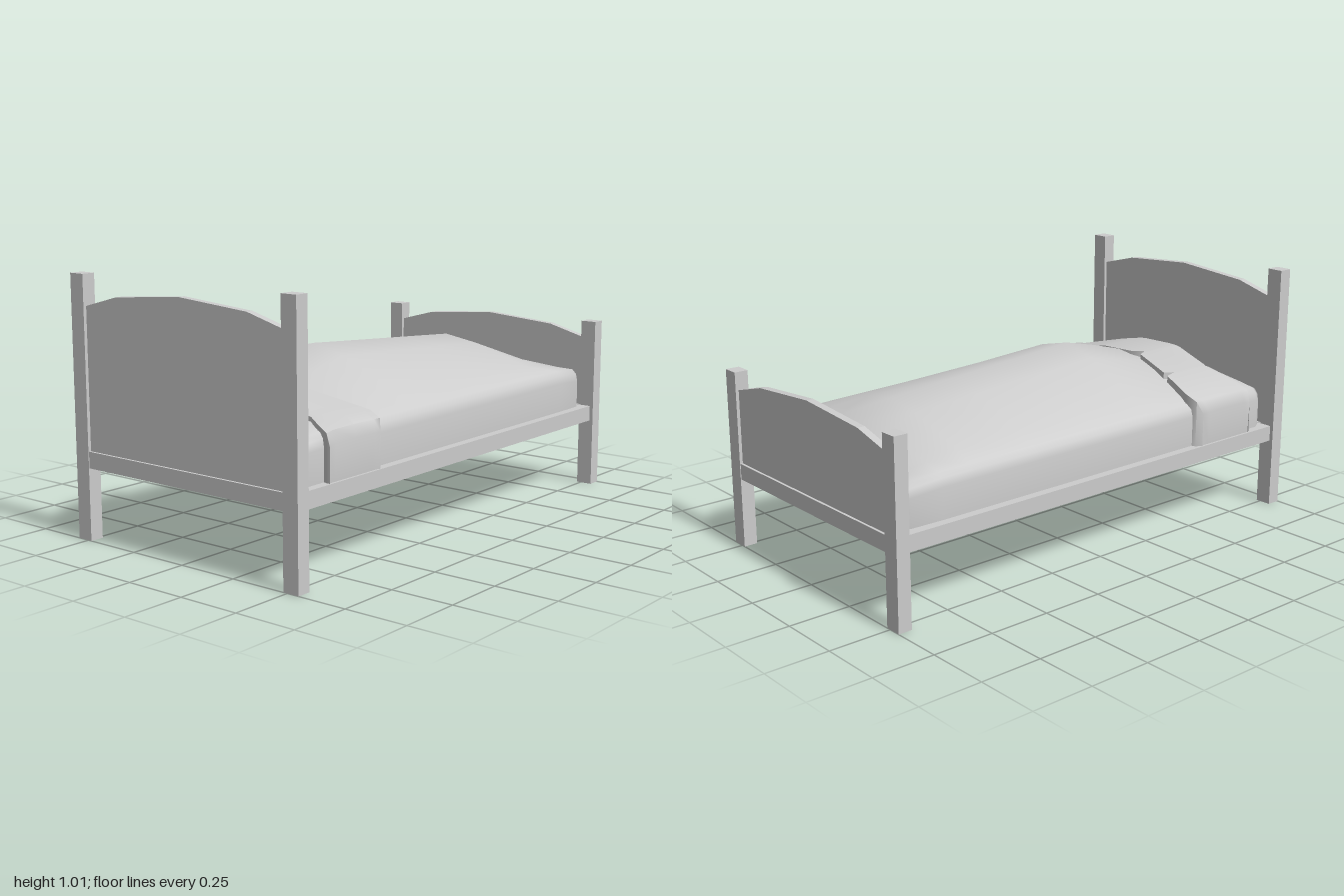
import * as THREE from 'three';
import { toCreasedNormals } from 'three/addons/utils/BufferGeometryUtils.js';

const bedGrey = new THREE.MeshStandardMaterial({ color: 0xcccccc });
bedGrey.name = 'bed grey';

const DECK = 0.345; // top of the bed frame

function addMesh(parent, name, geometry, x = 0, y = 0, z = 0) {
  const mesh = new THREE.Mesh(geometry, bedGrey);
  mesh.name = name;
  mesh.position.set(x, y, z);
  parent.add(mesh);
  return mesh;
}

// Surface through rows of points (rows run towards +z, points towards +x),
// closed at both ends by dropping the first and last rows to the deck.
function drape(rows, crease) {
  const drop = row => row.map(([x, , z]) => [x, DECK, z]);
  const all = [drop(rows[0]), ...rows, drop(rows[rows.length - 1])];
  const n = rows[0].length;
  const index = [];
  for (let i = 0; i < all.length - 1; i++) {
    for (let j = 0; j < n - 1; j++) {
      const a = i * n + j, b = a + n;
      index.push(a, b, a + 1, a + 1, b, b + 1);
    }
  }
  const geometry = new THREE.BufferGeometry();
  geometry.setAttribute('position', new THREE.Float32BufferAttribute(all.flat(2), 3));
  geometry.setIndex(index);
  return toCreasedNormals(geometry, crease);
}

// Arched board between two posts
function boardGeometry(side, shoulder, apex) {
  const shape = new THREE.Shape([
    [-0.487, DECK], [0.487, DECK], [0.487, side], [0.32, shoulder],
    [0, apex], [-0.32, shoulder], [-0.487, side],
  ].map(p => new THREE.Vector2(...p)));
  const geometry = new THREE.ExtrudeGeometry(shape, { depth: 0.03, bevelEnabled: false });
  return geometry.translate(0, 0, -0.015);
}

// Bedding with a softly hipped top: stations of [z, ridge height, half width, edge height]
function beddingGeometry() {
  const stations = [
    [-0.945, 0.475, 0.455, 0.465], [-0.93, 0.495, 0.475, 0.485], [-0.9, 0.515, 0.495, 0.505],
    [-0.76, 0.585, 0.5, 0.515], [-0.62, 0.65, 0.5, 0.515], [-0.32, 0.672, 0.5, 0.515],
    [0, 0.695, 0.5, 0.515], [0.27, 0.715, 0.5, 0.515], [0.42, 0.68, 0.5, 0.515],
    [0.6, 0.63, 0.5, 0.515], [0.8, 0.585, 0.5, 0.515], [0.89, 0.562, 0.5, 0.51],
    [0.93, 0.54, 0.475, 0.495],
  ];
  // [share of half width, share of rise, drop below the edge]
  const half = [
    [1, 0, 0.05], [0.985, 0, 0.018], [0.95, 0, 0], [0.8, 0.25, 0], [0.6, 0.5, 0], [0.3, 0.82, 0],
  ];
  const profile = [
    ...half.map(([u, f, d]) => [-u, f, d]), [0, 1, 0],
    ...half.slice().reverse(),
  ];
  return drape(stations.map(([z, top, w, edge]) => [
    [-w, DECK, z],
    ...profile.map(([u, f, d]) => [u * w, edge + (top - edge) * f - d, z]),
    [w, DECK, z],
  ]), 1.0);
}

// Turned-down sheet: columns of [x, height, inner z, outer z]
function foldGeometry() {
  const columns = [
    [-0.525, DECK, 0.54, 0.81], [-0.53, 0.48, 0.53, 0.81], [-0.515, 0.53, 0.505, 0.81],
    [-0.47, 0.556, 0.49, 0.8], [-0.34, 0.6, 0.515, 0.765], [-0.325, 0.603, 0.57, 0.76],
    [-0.31, 0.606, 0.525, 0.765], [-0.13, 0.64, 0.57, 0.805], [-0.11, 0.641, 0.615, 0.81],
    [-0.07, 0.642, 0.575, 0.81], [0.08, 0.637, 0.565, 0.81], [0.19, 0.612, 0.575, 0.808],
    [0.205, 0.608, 0.59, 0.8], [0.24, 0.6, 0.56, 0.785], [0.4, 0.558, 0.51, 0.755],
    [0.46, 0.545, 0.5, 0.79], [0.515, 0.525, 0.515, 0.81], [0.53, 0.48, 0.53, 0.81],
    [0.525, DECK, 0.54, 0.81],
  ];
  const steps = [[0, 0], [0.12, 0], [0.5, -0.002], [0.88, 0], [1, 0.006]];
  return drape(steps.map(([t, sag]) => columns.map(([x, y, z0, z1]) =>
    [x, y === DECK ? y : y - sag, z0 + (z1 - z0) * t])), 0.9);
}

export function createModel() {
  const bed = new THREE.Group();
  bed.name = 'bed';

  // Frame slab
  addMesh(bed, 'frame', new THREE.BoxGeometry(1.07, 0.064, 1.89), 0, 0.313, 0);

  // Head and foot ends: rail, arched board and two posts each
  const ends = [
    { name: 'head', z: 0.972, height: 1.01, arch: [0.89, 0.935, 0.96] },
    { name: 'foot', z: -0.972, height: 0.713, arch: [0.64, 0.685, 0.71] },
  ];
  for (const { name, z, height, arch } of ends) {
    addMesh(bed, name + 'Rail', new THREE.BoxGeometry(0.975, 0.064, 0.05), 0, 0.313, z);
    addMesh(bed, name + 'Board', boardGeometry(...arch), 0, 0, z);
    for (const side of [-1, 1]) {
      addMesh(bed, name + 'Post', new THREE.BoxGeometry(0.067, height, 0.056), side * 0.5165, height / 2, z);
    }
  }

  // Bedding
  addMesh(bed, 'bedding', beddingGeometry());
  addMesh(bed, 'foldedSheet', foldGeometry());
  return bed;
}
